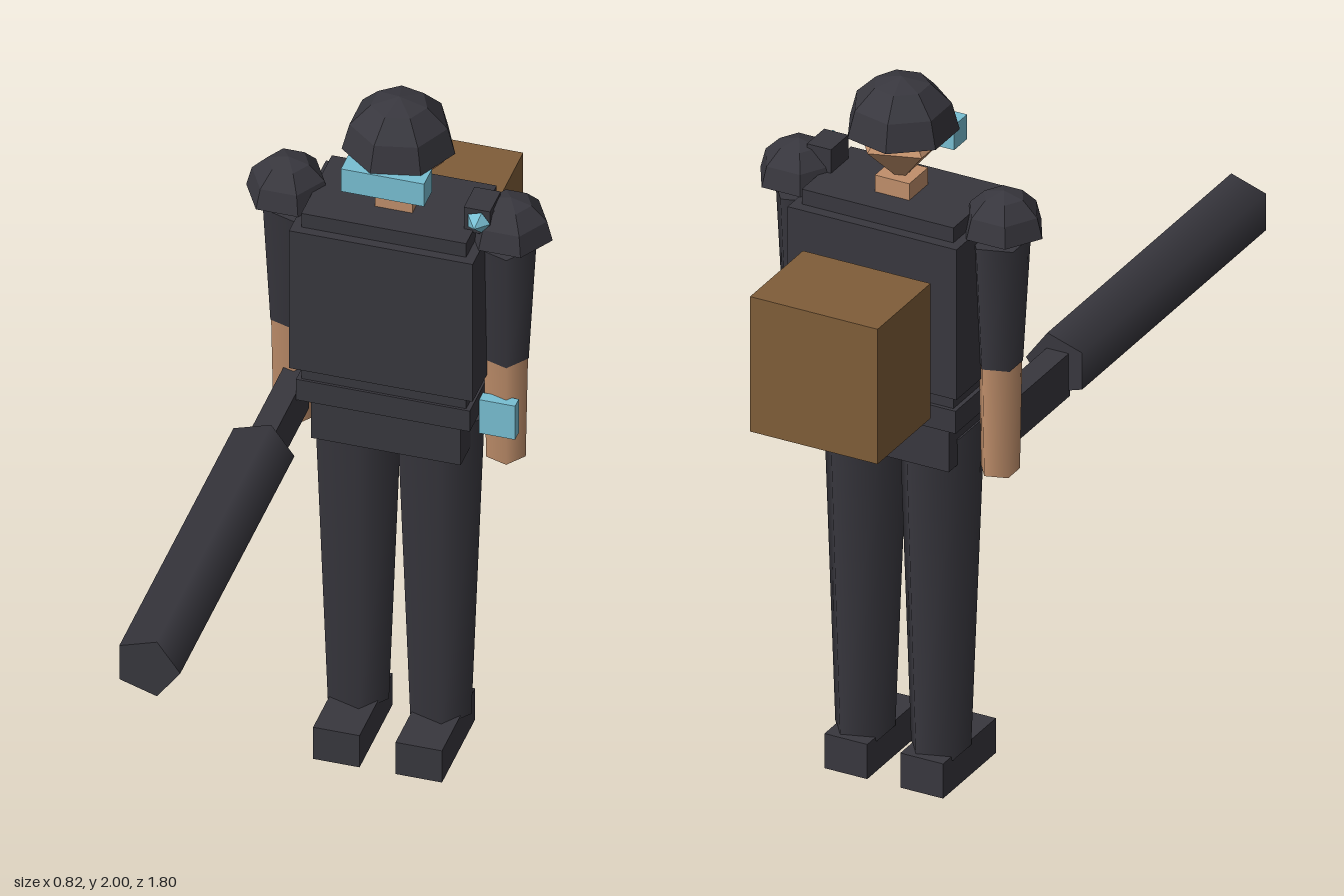
import * as THREE from 'three';

const mat = (name, color) => {
  const m = new THREE.MeshStandardMaterial({ color });
  m.name = name;
  return m;
};

export function createModel() {
  const armor = mat('charcoal armour', 0x38373e);
  const skin = mat('skin', 0xc08f6b);
  const glass = mat('cyan glass', 0x78bfd3);
  const wood = mat('brown crate', 0x7f5d39);

  const model = new THREE.Group();
  model.name = 'armouredFigure';
  const BODY_Z = -0.43;

  const add = (name, geometry, material, x, y, z) => {
    const mesh = new THREE.Mesh(geometry, material);
    mesh.name = name;
    mesh.position.set(x, y, z);
    model.add(mesh);
    return mesh;
  };
  // Box given by its limits on each axis
  const box = (name, material, [x0, x1], [y0, y1], [z0, z1]) =>
    add(name, new THREE.BoxGeometry(x1 - x0, y1 - y0, z1 - z0), material,
      (x0 + x1) / 2, (y0 + y1) / 2, (z0 + z1) / 2);
  // Five-sided upright limb with one corner pointing to +x
  const limb = (name, material, x, y0, y1, rBottom, rTop) =>
    add(name, new THREE.CylinderGeometry(rTop, rBottom, y1 - y0, 5, 1, false, Math.PI / 2),
      material, x, (y0 + y1) / 2, BODY_Z);
  const facet = (geometry) => {
    const g = geometry.toNonIndexed();
    g.computeVertexNormals();
    return g;
  };
  // Faceted half sphere, closed underneath
  const dome = (name, radius, sides, x, y) => {
    add(name, facet(new THREE.SphereGeometry(radius, sides, 3, Math.PI, Math.PI * 2, 0, Math.PI / 2)),
      armor, x, y, BODY_Z);
    add(name + 'Underside', new THREE.CircleGeometry(radius, sides).rotateX(Math.PI / 2),
      armor, x, y, BODY_Z);
  };

  // Head
  dome('helmet', 0.149, 7, 0, 1.851);
  add('head', facet(new THREE.SphereGeometry(0.12, 5, 2, Math.PI)), skin, 0, 1.82, BODY_Z);
  box('neck', skin, [-0.05, 0.05], [1.65, 1.725], [-0.48, -0.38]);
  box('visor', glass, [-0.111, 0.111], [1.778, 1.849], [-0.353, -0.284]);

  // Torso
  box('torso', armor, [-0.22, 0.22], [1.1, 1.677], [-0.557, -0.295]);
  box('chestArmour', armor, [-0.245, 0.245], [1.2, 1.634], [-0.587, -0.27]);
  box('belt', armor, [-0.232, 0.232], [1.09, 1.155], [-0.568, -0.288]);
  box('hips', armor, [-0.2, 0.2], [0.96, 1.1], [-0.545, -0.312]);

  // Limbs, mirrored in position
  for (const [side, s] of [['left', 1], ['right', -1]]) {
    limb(side + 'Leg', armor, s * 0.11, 0.09, 1.035, 0.082, 0.117);
    box(side + 'Foot', armor, [s * 0.11 - 0.062, s * 0.11 + 0.062], [0, 0.1], [-0.524, -0.242]);
    limb(side + 'Sleeve', armor, s * 0.284, 1.247, 1.602, 0.061, 0.081);
    limb(side + 'Forearm', skin, s * 0.284, 0.936, 1.247, 0.053, 0.059);
    dome(side + 'ShoulderGuard', 0.112, 6, s * 0.297, 1.634);
  }

  // Shoulder lamp and wrist screen on the left side
  box('shoulderLampBody', armor, [0.195, 0.265], [1.67, 1.745], [-0.447, -0.355]);
  add('shoulderLampLens', facet(new THREE.SphereGeometry(0.033, 5, 2, Math.PI).rotateX(Math.PI / 2)),
    glass, 0.235, 1.712, -0.347);
  box('wristScreen', glass, [0.235, 0.331], [1.037, 1.143], [-0.39, -0.358]);

  // Cannon held in the right hand
  const barrel = new THREE.CylinderGeometry(0.09, 0.09, 0.98, 5, 1, false, Math.PI / 2);
  add('cannonBarrel', barrel.rotateX(Math.PI / 2), armor, -0.262, 1.069, 0.408);
  box('cannonGrip', armor, [-0.296, -0.232], [0.985, 1.11], [-0.4, -0.075]);

  // Crate behind the back
  box('backCrate', wood, [-0.185, 0.185], [1.145, 1.535], [-0.897, -0.615]);

  return model;
}
